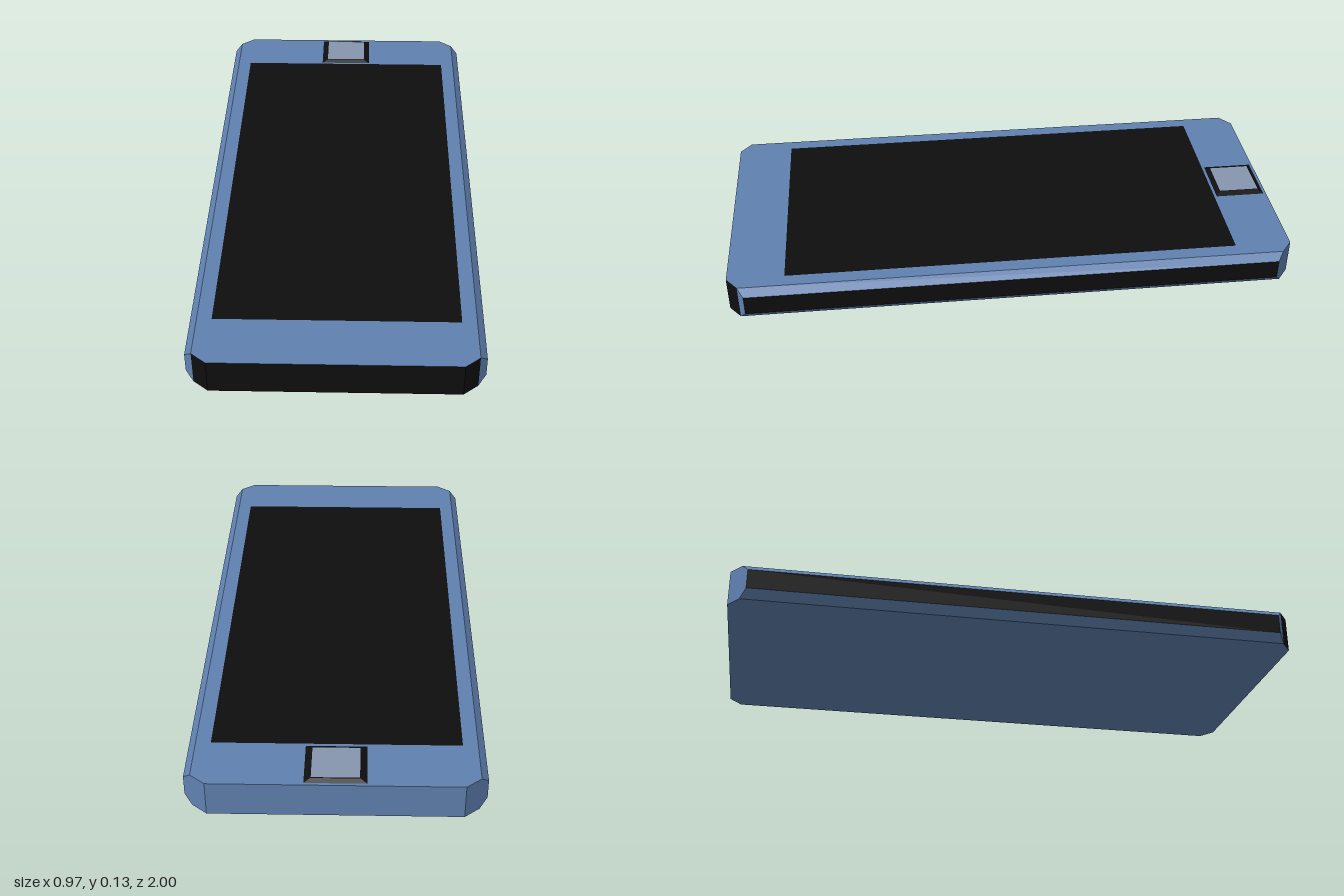
import * as THREE from 'three';

const BLUE = 0x6080b0, BLACK = 0x0e0e0e, GLASS = 0x8796ae;
const H = 0.125;

function material(color) {
  return new THREE.MeshStandardMaterial({ color, flatShading: true });
}

// Flat-shaded mesh from a list of convex polygons, skipping collapsed triangles
function polygonMesh(name, color, polygons) {
  const positions = [];
  const tri = new THREE.Triangle();
  for (const p of polygons) {
    for (let i = 1; i < p.length - 1; i++) {
      tri.set(p[0], p[i], p[i + 1]);
      if (tri.getArea() < 1e-8) continue;
      for (const v of [p[0], p[i], p[i + 1]]) positions.push(v.x, v.y, v.z);
    }
  }
  const geometry = new THREE.BufferGeometry();
  geometry.setAttribute('position', new THREE.Float32BufferAttribute(positions, 3));
  geometry.computeVertexNormals();
  const mesh = new THREE.Mesh(geometry, material(color));
  mesh.name = name;
  return mesh;
}

// Eight-sided cross-section: wm/zm for the side wall, wt/zt for the top and bottom edges
function section(wm, zm, wt, zt) {
  return [
    [wm, 0.03, zm], [wm, 0.1, zm], [wt, H, zt], [-wt, H, zt],
    [-wm, 0.1, zm], [-wm, 0.03, zm], [-wt, 0, zt], [wt, 0, zt],
  ].map((p) => new THREE.Vector3(...p));
}

function createCase() {
  // Cross-sections from back to front
  const rings = [
    section(0.41, -1, 0.41, -1),
    section(0.46, -0.96, 0.46, -0.96),
    section(0.485, -0.94, 0.46, -0.96),
    section(0.485, 0.94, 0.46, 0.96),
    section(0.46, 0.96, 0.46, 0.96),
    section(0.41, 1, 0.41, 1),
  ];
  const shell = [[...rings[0]].reverse()];
  const sideStrips = [];
  const frontEnd = [rings[5]];
  for (let r = 0; r < 5; r++) {
    const a = rings[r], b = rings[r + 1];
    for (let i = 0; i < 8; i++) {
      const j = (i + 1) % 8;
      const flat = i === 2 || i === 6;
      const target = r === 2 && i % 4 === 0 ? sideStrips : r === 4 && !flat ? frontEnd : shell;
      target.push([a[i], a[j], b[j], b[i]]);
    }
  }
  const group = new THREE.Group();
  group.name = 'case';
  group.add(
    polygonMesh('shell', BLUE, shell),
    polygonMesh('sideStrips', BLACK, sideStrips),
    polygonMesh('frontEnd', BLACK, frontEnd),
  );
  return group;
}

// Thin horizontal panel facing up
function panel(name, color, width, depth, y, z) {
  const mesh = new THREE.Mesh(new THREE.PlaneGeometry(width, depth).rotateX(-Math.PI / 2), material(color));
  mesh.name = name;
  mesh.position.set(0, y, z);
  return mesh;
}

// Raised camera frame with sloping sides and a glass window
function createCamera() {
  const group = new THREE.Group();
  group.name = 'camera';
  const geometry = new THREE.BoxGeometry(0.2, 0.008, 0.18);
  const p = geometry.attributes.position;
  for (let i = 0; i < p.count; i++) {
    if (p.getY(i) > 0) p.setXYZ(i, p.getX(i) * 0.8, p.getY(i), p.getZ(i) * 0.84);
  }
  geometry.computeVertexNormals();
  const frame = new THREE.Mesh(geometry, material(BLACK));
  frame.name = 'cameraFrame';
  frame.position.set(0, H + 0.004, -0.9);
  group.add(frame, panel('cameraGlass', GLASS, 0.155, 0.145, H + 0.009, -0.9));
  return group;
}

export function createModel() {
  const model = new THREE.Group();
  model.name = 'phone';
  model.add(createCase(), panel('screen', BLACK, 0.82, 1.6, H + 0.001, 0), createCamera());
  return model;
}
